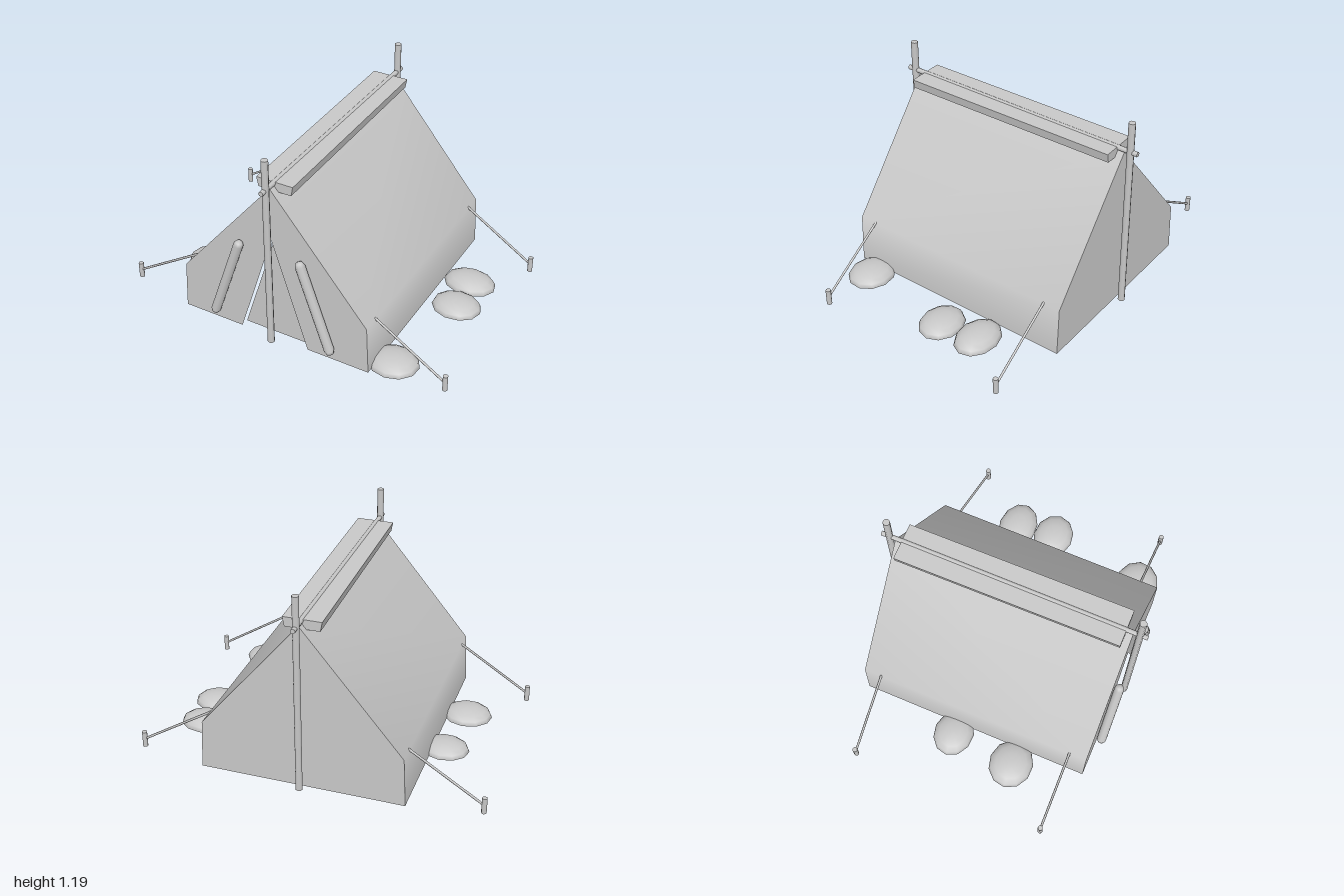
import * as THREE from 'three';

const Y0 = 0.02; // ground level of tent, poles and stones
const HALF = 0.69; // half length of the tent

export function createModel() {
  const model = new THREE.Group();
  const grey = new THREE.MeshStandardMaterial({ color: 0xc8c8c8, side: THREE.DoubleSide });
  grey.name = 'plain grey';

  function add(geometry, name, x = 0, y = 0, z = 0) {
    const mesh = new THREE.Mesh(geometry, grey);
    mesh.name = name;
    mesh.position.set(x, y, z);
    model.add(mesh);
    return mesh;
  }

  // Place a geometry whose length runs along y between two points
  function between(a, b, name, makeGeometry) {
    const p = new THREE.Vector3(...a), q = new THREE.Vector3(...b);
    const dir = q.clone().sub(p);
    const mesh = add(makeGeometry(dir.length()), name);
    mesh.position.copy(p).add(q).multiplyScalar(0.5);
    mesh.quaternion.setFromUnitVectors(new THREE.Vector3(0, 1, 0), dir.normalize());
  }

  const shapeOf = (pts) => new THREE.Shape(pts.map((p) => new THREE.Vector2(...p)));

  // Canvas sides: sloping roof running into a low wall, softly bent at the eave
  const profile = [[0, 1.0], [0.57, 0.31], [0.583, Y0]];
  for (const s of [1, -1]) {
    const pos = [];
    for (const [x, y] of profile) pos.push(s * x, y, HALF, s * x, y, -HALF);
    const index = [];
    for (let i = 0; i < 4; i += 2) {
      if (s > 0) index.push(i, i + 2, i + 1, i + 1, i + 2, i + 3);
      else index.push(i, i + 1, i + 2, i + 1, i + 3, i + 2);
    }
    const g = new THREE.BufferGeometry();
    g.setAttribute('position', new THREE.Float32BufferAttribute(pos, 3));
    g.setIndex(index);
    g.computeVertexNormals();
    add(g, s > 0 ? 'leftCanvas' : 'rightCanvas');
  }

  // End walls, the front one cut for the doorway, with a door set just inside
  const outline = [[-0.583, Y0], [-0.57, 0.31], [0, 1.0], [0.57, 0.31], [0.583, Y0]];
  const door = [[0.21, Y0], [0, 0.68], [-0.21, Y0]];
  add(new THREE.ShapeGeometry(shapeOf([...outline, ...door])), 'frontWall', 0, 0, HALF);
  add(new THREE.ShapeGeometry(shapeOf(door)), 'doorPanel', 0, 0, HALF - 0.045);
  const back = add(new THREE.ShapeGeometry(shapeOf(outline)), 'backWall', 0, 0, -HALF);
  back.rotation.y = Math.PI;

  // Upright poles at both ends and the ridge pole across them
  for (const s of [1, -1]) {
    add(new THREE.CylinderGeometry(0.02, 0.02, 1.17, 8), s > 0 ? 'frontPole' : 'backPole', 0, Y0 + 0.585, s * 0.725);
  }
  between([0, 1.012, -0.77], [0, 1.012, 0.77], 'ridgePole', (h) => new THREE.CylinderGeometry(0.014, 0.014, h, 8));

  // Ridge cap: a slightly twisted board, narrower underneath
  const cap = new THREE.BoxGeometry(0.216, 0.055, 1.3);
  const cp = cap.attributes.position;
  for (let i = 0; i < cp.count; i++) {
    if (cp.getY(i) < 0) cp.setX(i, cp.getX(i) * 0.9);
  }
  cap.computeVertexNormals();
  add(cap, 'ridgeCap', 0, 0.992, 0).rotation.y = 0.009;

  // Logs leaning on the front wall
  for (const s of [1, -1]) {
    between([s * 0.362, 0.1, 0.718], [s * 0.19, 0.598, 0.718], 'leaningLog',
      (h) => new THREE.CapsuleGeometry(0.028, h, 2, 10));
  }

  // Guy ropes and their stakes
  for (const sx of [1, -1]) {
    for (const sz of [1, -1]) {
      const z = sz * 0.587;
      between([sx * 0.563, 0.314, z], [sx * 0.98, 0.05, z], 'guyRope', (h) => new THREE.CylinderGeometry(0.007, 0.007, h, 6));
      add(new THREE.CylinderGeometry(0.015, 0.015, 0.095, 8), 'stake', sx * 0.984, 0.0475, z);
    }
  }

  // Low domed stones: x, z, half width, half depth, height, turn
  const stones = [
    [0.735, -0.277, 0.155, 0.118, 0.064, 0.2],
    [0.757, -0.045, 0.145, 0.122, 0.06, 0.9],
    [0.665, 0.552, 0.145, 0.13, 0.06, 0.5],
    [-0.65, -0.105, 0.14, 0.118, 0.06, 0.1],
    [-0.69, 0.28, 0.145, 0.13, 0.06, 0.7],
  ];
  for (const [x, z, rx, rz, h, turn] of stones) {
    const dome = new THREE.SphereGeometry(1, 11, 4, 0, Math.PI * 2, 0, Math.PI / 2);
    dome.rotateY(turn);
    dome.scale(rx, h, rz);
    add(dome, 'stone', x, Y0, z);
    const base = new THREE.CircleGeometry(1, 11);
    base.rotateX(Math.PI / 2);
    base.rotateY(turn + Math.PI);
    base.scale(rx, 1, rz);
    add(base, 'stoneBase', x, Y0, z);
  }

  return model;
}
